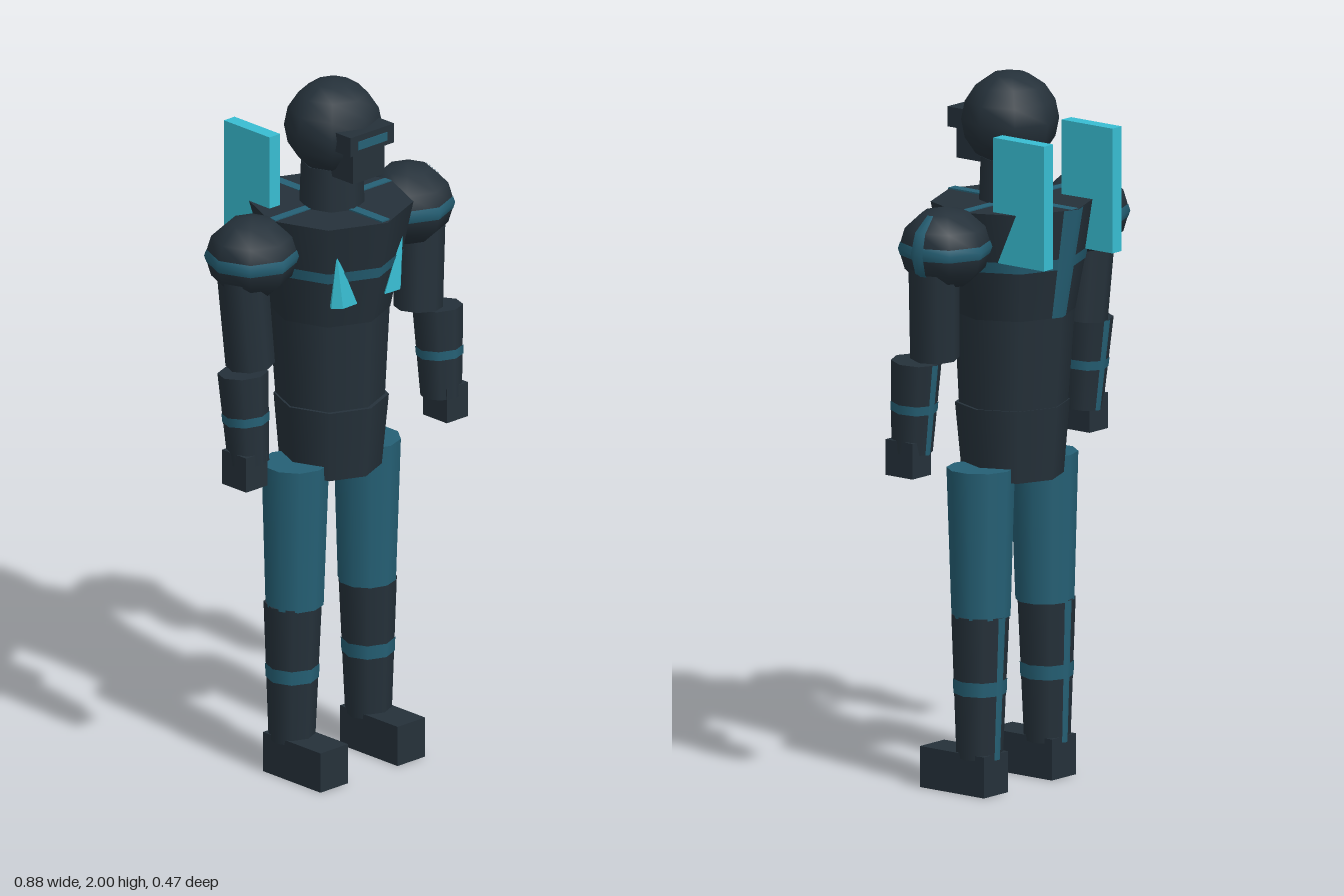
import * as THREE from 'three';
import { ConvexGeometry } from 'three/addons/geometries/ConvexGeometry.js';

const V = (x, y, z) => new THREE.Vector3(x, y, z);
const SIDES = 8;

export function createModel() {
  const armour = new THREE.MeshStandardMaterial({ color: 0x25313a });
  armour.name = 'dark armour';
  const teal = new THREE.MeshStandardMaterial({ color: 0x256075 });
  teal.name = 'deep teal';
  const cyan = new THREE.MeshStandardMaterial({ color: 0x38bdd2 });
  cyan.name = 'bright cyan';

  const model = new THREE.Group();
  model.name = 'armouredFigure';

  function add(name, geometry, material, pos = [0, 0, 0], parent = model) {
    const mesh = new THREE.Mesh(geometry, material);
    mesh.name = name;
    mesh.position.set(...pos);
    parent.add(mesh);
    return mesh;
  }
  const box = (name, size, pos, material = armour) =>
    add(name, new THREE.BoxGeometry(...size), material, pos);

  // Narrow strip up the back (-z) of an eight-sided form; profile is [radius, y] pairs
  function ribbon(profile, width) {
    const pos = [], index = [], slope = Math.tan(Math.PI / SIDES);
    profile.forEach(([r, y], i) => {
      const w = r * width;
      for (const x of [w, 0, -w]) pos.push(x, y, -(r + 0.003 - Math.abs(x) * slope));
      if (i === 0) return;
      for (let c = 0; c < 2; c++) {
        const a = (i - 1) * 3 + c, b = a + 3;
        index.push(a, a + 1, b + 1, a, b + 1, b);
      }
    });
    const g = new THREE.BufferGeometry();
    g.setAttribute('position', new THREE.Float32BufferAttribute(pos, 3));
    g.setIndex(index);
    g.computeVertexNormals();
    return g;
  }

  // Tapered segment from a lower to an upper point, optionally with band and back stripe
  function segment(name, low, high, rLow, rHigh, { material = armour, trim = false, sides = SIDES } = {}) {
    const axis = high.clone().sub(low), h = axis.length();
    const group = new THREE.Group();
    group.name = name;
    group.position.copy(low).add(high).multiplyScalar(0.5);
    group.quaternion.setFromUnitVectors(V(0, 1, 0), axis.normalize());
    model.add(group);
    add(name + 'Shell', new THREE.CylinderGeometry(rHigh, rLow, h, sides), material, [0, 0, 0], group);
    if (trim) {
      const mid = (rLow + rHigh) / 2 + 0.002, d = (rHigh - rLow) * 0.05;
      add(name + 'Band', new THREE.CylinderGeometry(mid + d, mid - d, h * 0.1, sides, 1, true),
        teal, [0, 0, 0], group);
      add(name + 'Stripe', ribbon([[rLow, -h / 2], [rHigh, h / 2]], 0.18), teal, [0, 0, 0], group);
    }
    return group;
  }

  // Torso
  segment('pelvis', V(0, 0.87, 0.01), V(0, 1.075, 0.012), 0.14, 0.158);
  segment('waist', V(0, 1.07, 0.008), V(0, 1.335, 0.004), 0.15, 0.166);
  segment('chest', V(0, 1.33, 0.004), V(0, 1.64, 0.008), 0.167, 0.228, { trim: true });
  box('collarStripeAcross', [0.44, 0.004, 0.026], [0, 1.641, 0.008], teal);
  box('collarStripeAlong', [0.03, 0.004, 0.44], [0, 1.641, 0.008], teal);

  // Neck and head
  segment('neck', V(0, 1.62, 0.015), V(0, 1.76, 0.015), 0.09, 0.085);
  add('head', new THREE.SphereGeometry(0.135, 8, 8), armour, [0, 1.865, 0.02]);
  box('visor', [0.165, 0.056, 0.09], [0, 1.862, 0.13]);
  box('visorLens', [0.11, 0.024, 0.006], [0, 1.86, 0.175], teal);
  box('mask', [0.118, 0.085, 0.09], [0, 1.787, 0.116]);

  for (const [side, s] of [['left', 1], ['right', -1]]) {
    // Back fin and chest spike
    box(side + 'BackFin', [0.04, 0.35, 0.18], [s * 0.147, 1.675, -0.148], cyan);
    add(side + 'ChestSpike', new ConvexGeometry([
      V(s * 0.125, 1.56, 0.165), V(s * 0.132, 1.395, 0.15),
      V(s * 0.052, 1.395, 0.17), V(s * 0.1, 1.395, 0.1), V(s * 0.108, 1.395, 0.172),
    ]), cyan);

    // Shoulder with equator band and a meridian stripe
    const shoulder = new THREE.Group();
    shoulder.name = side + 'Shoulder';
    shoulder.position.set(s * 0.296, 1.555, 0.006);
    shoulder.scale.y = 0.9;
    model.add(shoulder);
    const R = 0.128;
    add(side + 'ShoulderBall', new THREE.SphereGeometry(R, SIDES, 6), armour, [0, 0, 0], shoulder);
    const bandPoints = [[0.124, -0.02], [0.13, 0], [0.124, 0.02]].map(p => new THREE.Vector2(...p));
    add(side + 'ShoulderBand', new THREE.LatheGeometry(bandPoints, SIDES), teal, [0, 0, 0], shoulder);
    const meridian = [-60, -30, 0, 30, 60].map(a => a * Math.PI / 180)
      .map(a => [R * Math.cos(a), R * Math.sin(a)]);
    add(side + 'ShoulderStripe', ribbon(meridian, 0.16), teal, [0, 0, 0], shoulder)
      .rotation.y = -Math.PI / 2;

    // Arm
    segment(side + 'UpperArm', V(s * 0.318, 1.248, 0.024), V(s * 0.337, 1.52, 0.012), 0.068, 0.07);
    segment(side + 'Forearm', V(s * 0.365, 0.988, 0.066), V(s * 0.369, 1.245, 0.048), 0.057, 0.07, { trim: true });
    box(side + 'Hand', [0.08, 0.1, 0.095], [s * 0.38, 0.973, 0.067]);

    // Leg
    segment(side + 'Thigh', V(s * 0.137, 0.495, 0.01), V(s * 0.136, 0.91, 0.012), 0.081, 0.094,
      { material: teal, sides: 10 });
    segment(side + 'Shin', V(s * 0.145, 0.1, 0.008), V(s * 0.142, 0.5, 0.008), 0.064, 0.08, { trim: true });
    box(side + 'Foot', [0.104, 0.115, 0.227], [s * 0.146, 0.0575, 0.063]);
  }
  return model;
}
